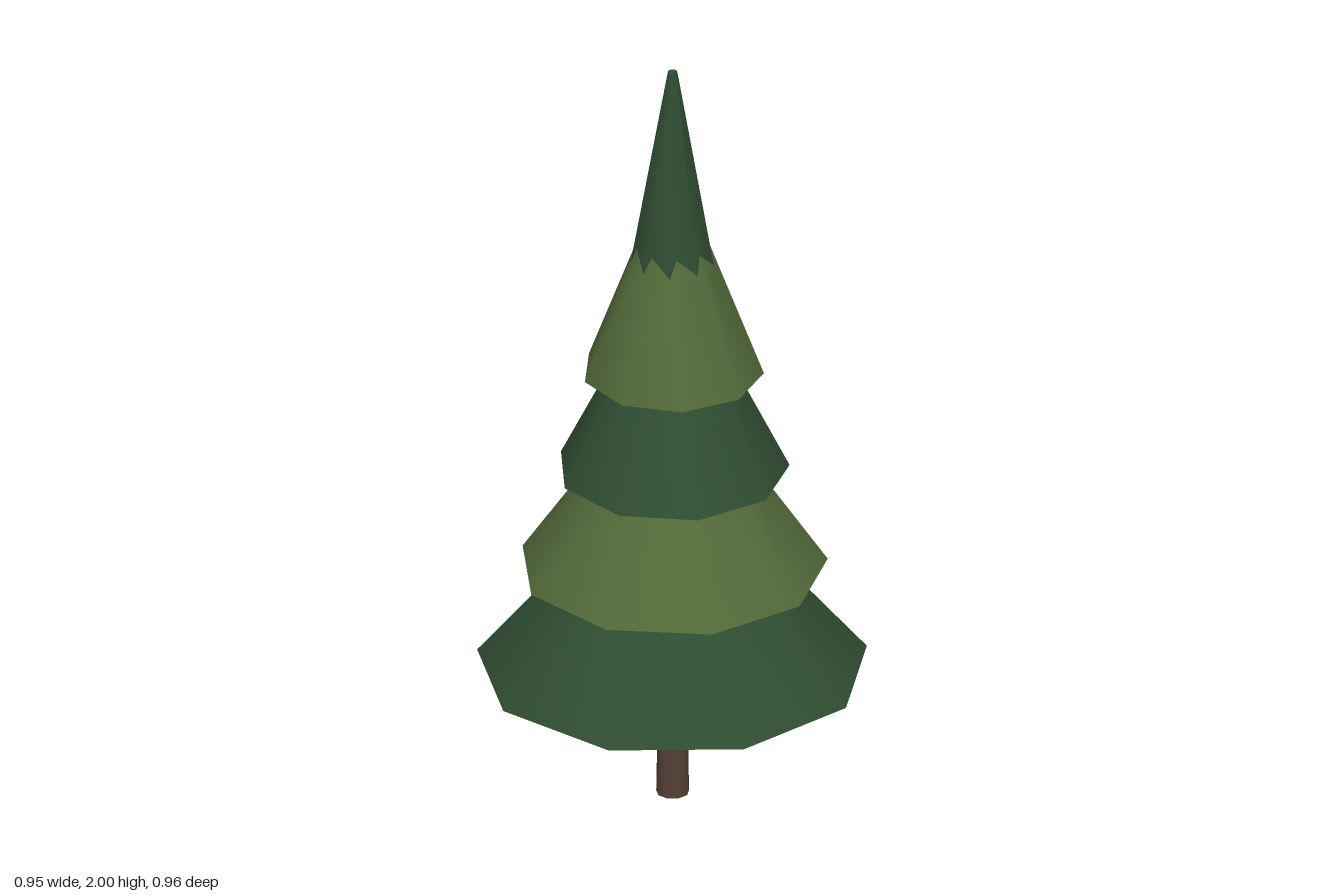
import * as THREE from 'three';

const SIDES = 9;

export function createModel() {
  const tree = new THREE.Group();
  tree.name = 'pineTree';

  const paint = (name, color) => {
    const m = new THREE.MeshStandardMaterial({ color });
    m.name = name;
    return m;
  };
  const darkGreen = paint('darkGreen', 0x2f4d32);
  const lightGreen = paint('lightGreen', 0x526a39);
  const bark = paint('barkBrown', 0x554133);

  // Closed tapered segment standing between two heights, turned about y
  const taper = (name, material, y0, y1, r0, r1, turn) => {
    const mesh = new THREE.Mesh(new THREE.CylinderGeometry(r1, r0, y1 - y0, SIDES), material);
    mesh.name = name;
    mesh.position.set(0.008, (y0 + y1) / 2, -0.007);
    mesh.rotation.y = THREE.MathUtils.degToRad(turn);
    tree.add(mesh);
  };

  taper('trunk', bark, 0, 0.4, 0.041, 0.034, -7);

  // Branch tiers from the ground up; each top is hidden inside the next tier
  taper('branchTier1', darkGreen, 0.355, 0.68, 0.487, 0.213, -7);
  taper('branchTier2', lightGreen, 0.63, 0.95, 0.383, 0.166, -13.5);
  taper('branchTier3', darkGreen, 0.9, 1.22, 0.288, 0.13, -15.5);
  taper('branchTier4', lightGreen, 1.17, 1.6, 0.225, 0.062, -22);

  // Pointed tip, sunk into the top tier so the two cones meet in a jagged line
  taper('treeTop', darkGreen, 1.42, 2, 0.114, 0.012, -32);

  return tree;
}
